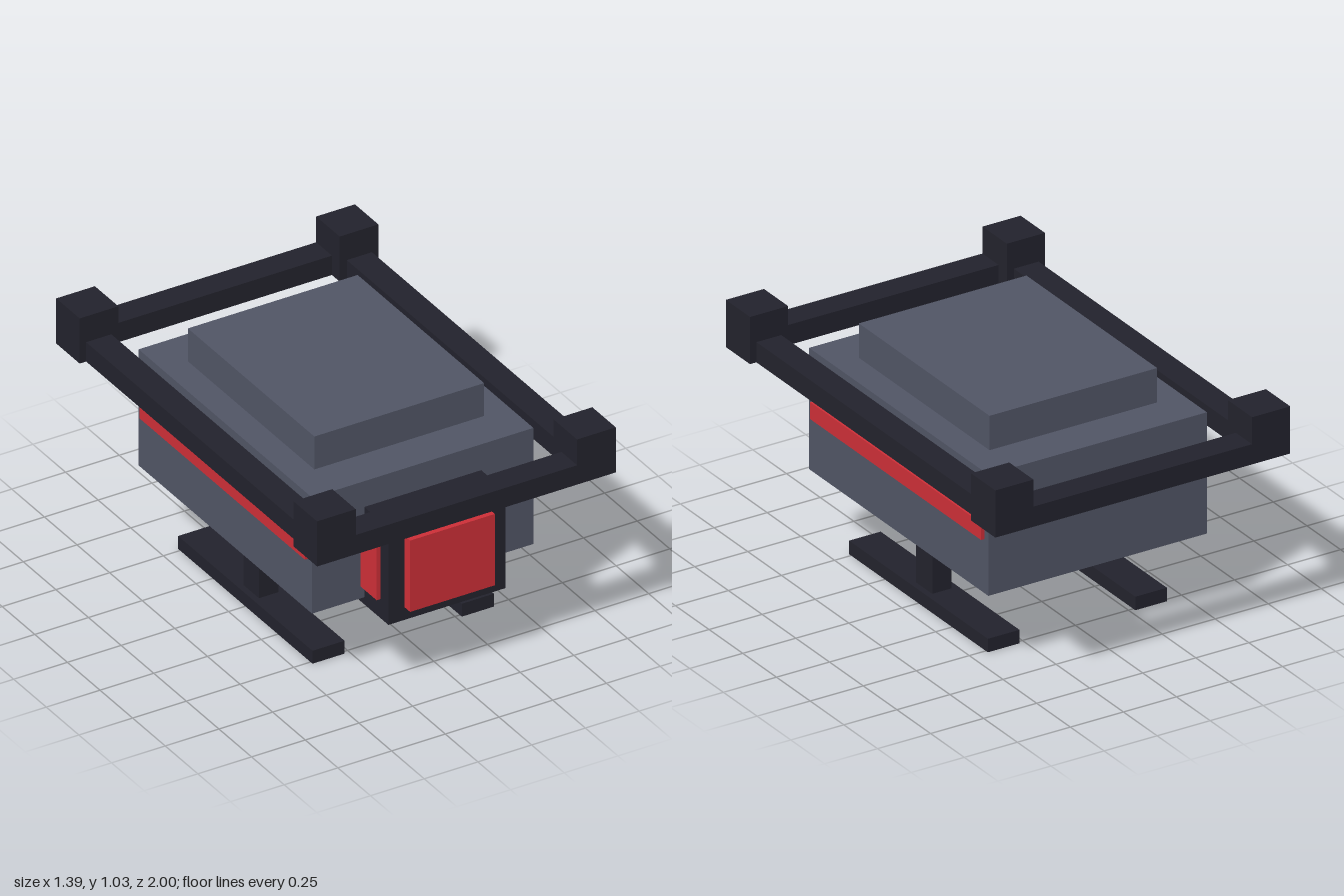
import * as THREE from 'three';

const material = (name, color) => {
  const m = new THREE.MeshStandardMaterial({ color });
  m.name = name;
  return m;
};

export function createModel() {
  const model = new THREE.Group();
  model.name = 'hoverDrone';
  const grey = material('slateGrey', 0x505464);
  const dark = material('darkFrame', 0x22222c);
  const red = material('accentRed', 0xcb2e37);

  // Box given by its lower and upper limits on each axis
  const box = (name, mat, [x0, x1], [y0, y1], [z0, z1]) => {
    const mesh = new THREE.Mesh(new THREE.BoxGeometry(x1 - x0, y1 - y0, z1 - z0), mat);
    mesh.position.set((x0 + x1) / 2, (y0 + y1) / 2, (z0 + z1) / 2);
    mesh.name = name;
    model.add(mesh);
  };
  // Limits mirrored to the side s
  const side = (s, a, b) => (s > 0 ? [a, b] : [-b, -a]);

  // Hull
  box('body', grey, [-0.515, 0.515], [0.34, 0.88], [-0.665, 0.665]);
  box('topHousing', grey, [-0.395, 0.395], [0.88, 1.033], [-0.485, 0.485]);
  box('bellyPad', red, [-0.305, 0.305], [0.29, 0.34], [-0.36, 0.36]);

  // Head at the front
  box('head', dark, [-0.272, 0.272], [0.307, 0.76], [0.55, 0.85]);
  box('facePanel', red, [-0.197, 0.197], [0.366, 0.698], [0.85, 0.893]);

  for (const s of [1, -1]) {
    box('headSidePanel', red, side(s, 0.272, 0.29), [0.396, 0.67], [0.61, 0.79]);
    box('sideStripe', red, side(s, 0.515, 0.53), [0.58, 0.655], [-0.635, 0.635]);

    // Landing gear
    box('leg', dark, side(s, 0.305, 0.395), [0.06, 0.34], [-0.06, 0.06]);
    box('skid', dark, side(s, 0.273, 0.422), [0, 0.06], [-0.515, 0.515]);

    // Outer frame with corner blocks
    box('sideRail', dark, side(s, 0.548, 0.665), [0.79, 0.88], [-0.82, 0.82]);
    box('endRail', dark, [-0.515, 0.515], [0.79, 0.88], side(s, 0.88, 1));
    for (const t of [1, -1]) {
      box('cornerBlock', dark, side(s, 0.515, 0.695), [0.79, 1], side(t, 0.82, 1));
    }
  }
  return model;
}
